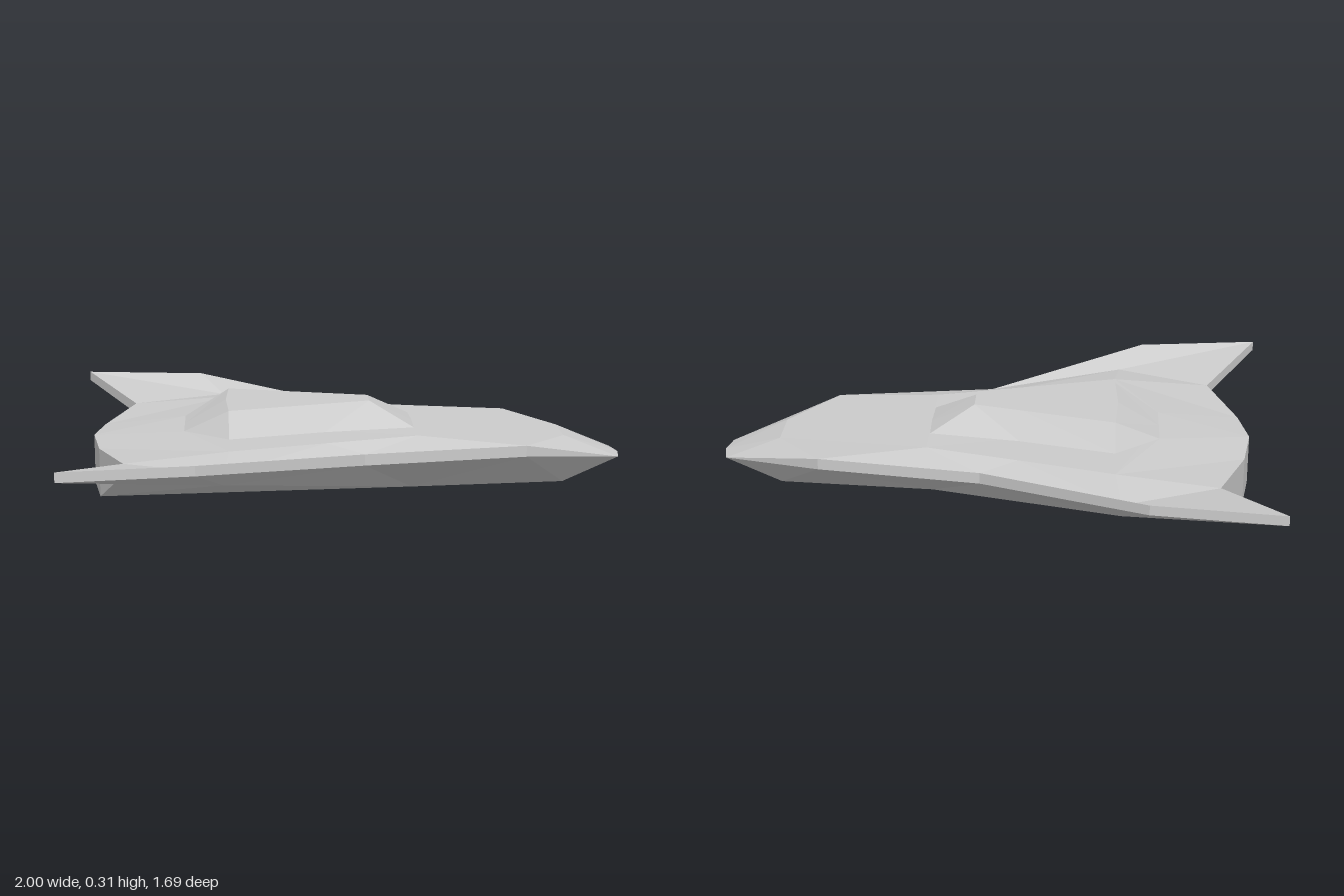
import * as THREE from 'three';

// Named corners of the left half (z >= 0); the right half is mirrored.
const P = {
  // hull outline, upper edge
  nose: [1, 0.09, 0], noseSide: [0.985, 0.09, 0.085],
  shoulder: [0.61, 0.19, 0.315], waist: [0.03, 0.19, 0.41],
  lead: [-0.55, 0.25, 0.785], tip: [-1, 0.25, 0.845],
  notch: [-0.8, 0.19, 0.495], tail: [-0.9, 0.175, 0.2], tailMid: [-0.93, 0.18, 0],
  // upper deck
  browMid: [0.78, 0.175, 0], brow: [0.78, 0.175, 0.09], inner: [-0.46, 0.19, 0.655],
  deckRear: [-0.44, 0.22, 0.465], deckSide: [-0.1, 0.22, 0.36], deckFront: [0.23, 0.22, 0.26],
  frontMid: [0.23, 0.22, 0], rearMid: [-0.6, 0.218, 0], rearSide: [-0.6, 0.218, 0.13],
  // keel
  keelMid: [0.78, 0, 0], keelFront: [0.78, 0, 0.085], keelSide: [0.22, 0, 0.13],
  tailLow: [-0.9, 0, 0.2], tailMidLow: [-0.93, 0, 0],
  // canopy
  base1: [-0.44, 0.218, 0.28], base2: [-0.1, 0.218, 0.185], base3: [0.23, 0.218, 0.13],
  roofRear: [-0.45, 0.305, 0], roof1: [-0.44, 0.305, 0.2], roof2: [-0.1, 0.305, 0.1],
  roof3: [0.07, 0.305, 0.05], roofFront: [0.07, 0.305, 0],
};

// Lower edge of the thin rim
const rimDrop = { shoulder: 0.04, waist: 0.04, lead: 0.035, tip: 0.035, notch: 0.04, inner: 0.04 };
for (const [name, drop] of Object.entries(rimDrop)) {
  const [x, y, z] = P[name];
  P[name + 'Low'] = [x, y - drop, z];
}
P.noseSideLow = P.noseSide;

// Fans each face into triangles and adds its mirror image.
function mirroredMesh(name, faces) {
  const pos = [];
  const flip = ([x, y, z]) => [x, y, -z];
  for (const face of faces) {
    const p = face.split(' ').map((key) => P[key]);
    for (let i = 1; i < p.length - 1; i++) {
      const [a, b, c] = [p[0], p[i], p[i + 1]];
      pos.push(...a, ...b, ...c, ...flip(a), ...flip(c), ...flip(b));
    }
  }
  const geo = new THREE.BufferGeometry();
  geo.setAttribute('position', new THREE.Float32BufferAttribute(pos, 3));
  geo.computeVertexNormals();
  const mesh = new THREE.Mesh(geo, new THREE.MeshStandardMaterial({ color: 0xcccccc, flatShading: true }));
  mesh.name = name;
  return mesh;
}

export function createModel() {
  const group = new THREE.Group();
  group.name = 'spacecraft';

  // Upper hull and deck
  group.add(mirroredMesh('upperHull', [
    'tailMid tail rearSide rearMid',
    'tail deckRear rearSide',
    'tail notch deckRear',
    'notch inner deckRear',
    'inner waist deckSide',
    'inner deckSide deckRear',
    'deckSide waist deckFront',
    'waist shoulder deckFront',
    'deckFront shoulder brow',
    'shoulder noseSide brow',
    'brow noseSide nose browMid',
    'rearMid rearSide deckRear deckSide deckFront frontMid',
    'frontMid deckFront brow browMid',
  ]));

  // Raised wing surfaces
  group.add(mirroredMesh('wingTops', ['tip lead inner notch', 'inner lead waist']));

  // Rim and stern wall
  const outline = ['noseSide', 'shoulder', 'waist', 'lead', 'tip', 'notch', 'tail', 'tailMid'];
  const walls = outline.slice(1).map((b, i) => `${b} ${b}Low ${outline[i]}Low ${outline[i]}`);
  group.add(mirroredMesh('rimAndStern', walls));

  // Sloped underside and flat keel
  group.add(mirroredMesh('underside', [
    'noseSide shoulderLow keelFront',
    'shoulderLow waistLow keelSide keelFront',
    'waistLow innerLow keelSide',
    'waistLow leadLow innerLow',
    'innerLow leadLow tipLow notchLow',
    'innerLow notchLow tailLow keelSide',
    'nose noseSide keelFront keelMid',
    'keelMid keelFront keelSide tailLow tailMidLow',
  ]));

  // Canopy
  group.add(mirroredMesh('canopy', [
    'rearMid rearSide roof1 roofRear',
    'rearSide base1 roof1',
    'base1 base2 roof2 roof1',
    'base2 base3 roof3 roof2',
    'roof3 base3 frontMid roofFront',
    'roofRear roof1 roof2 roof3 roofFront',
  ]));

  return group;
}
